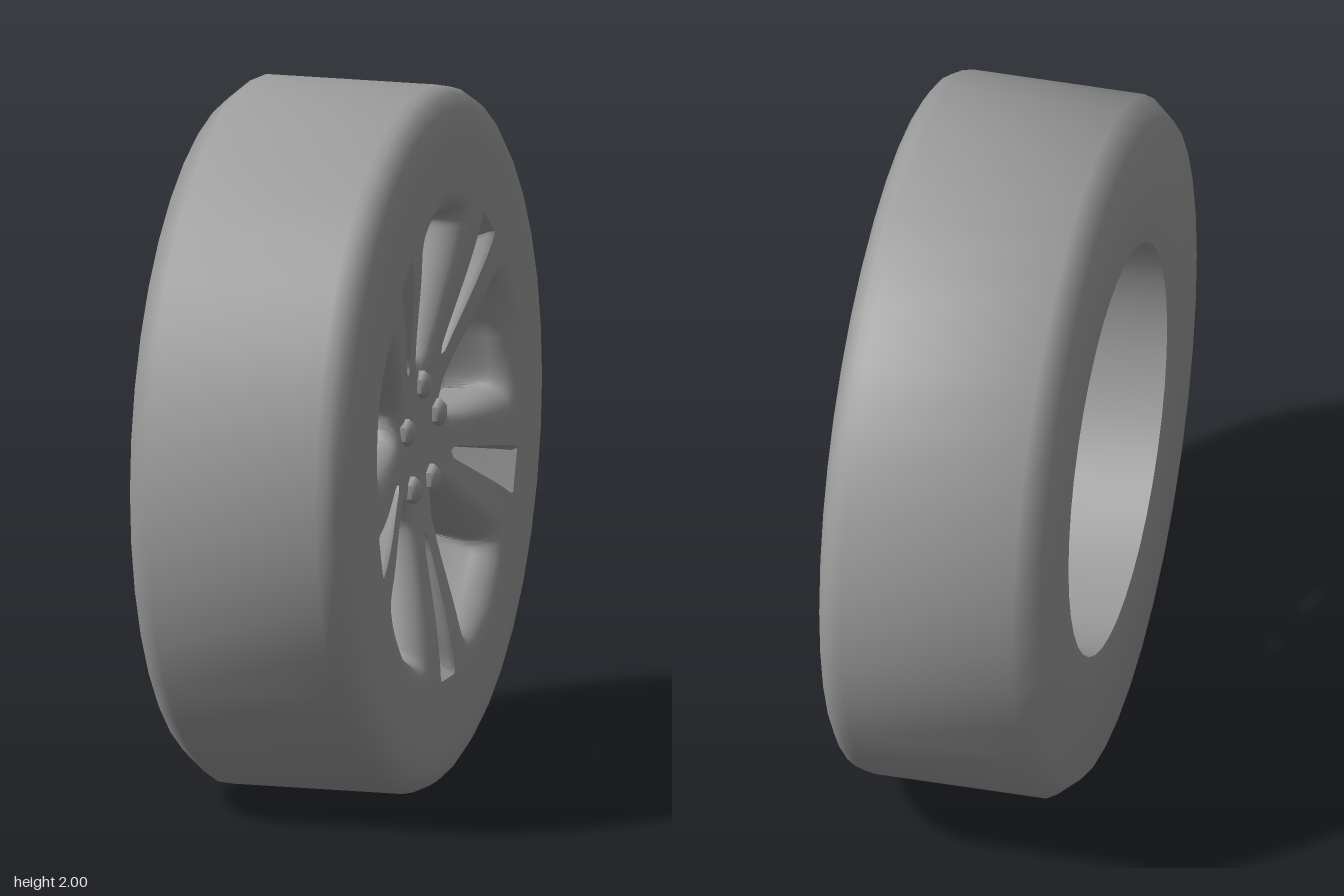
import * as THREE from 'three';
import { mergeGeometries, toCreasedNormals } from 'three/addons/utils/BufferGeometryUtils.js';

const BACK = 0.13;    // rear plane of the spokes
const BARREL = 0.59;  // inner radius of the rim barrel
const EDGE = 0.85;    // radius where the spoke face meets the sidewall
const A = Math.PI / 5;
const V = (x, y, z = 0) => new THREE.Vector3(x, y, z);

// Dished height of the outer face
const dish = (p) => 0.238 + 0.086 * THREE.MathUtils.smoothstep(Math.hypot(p.x, p.y), 0.08, 0.74);
const onFace = (p, drop = 0) => V(p.x, p.y, dish(p) - drop);
// Rear counterpart of a point, kept inside the barrel
const onBack = (p) => {
  const k = Math.min(1, BARREL / Math.max(Math.hypot(p.x, p.y), 1e-6));
  return V(p.x * k, p.y * k, BACK);
};
// Point given by its distance along a slot and its offset towards the window
const slot = (r, w) => V(
  Math.sin(A) * r - Math.cos(A) * w, Math.cos(A) * r + Math.sin(A) * w);
// Moves a border point slightly towards the middle of its slot
const inset = (p) => {
  const n = V(-Math.cos(A) * Math.sign(p.x), Math.sin(A));
  return p.clone().addScaledVector(n, -Math.min(0.011, 0.2 * p.dot(n)));
};

// Surface through rows of matching points
function skin(rows) {
  const n = rows[0].length, index = [];
  for (let i = 0; i < rows.length - 1; i++) {
    for (let j = 0; j < n - 1; j++) {
      const a = i * n + j, b = a + n;
      index.push(a, b, a + 1, b, b + 1, a + 1);
    }
  }
  const g = new THREE.BufferGeometry().setFromPoints(rows.flat());
  g.setIndex(index);
  return g;
}

// One fifth of the spoke face: a window surrounded by two half spokes
function spokeCell() {
  const endR = 0.68, endW = 0.062;
  const edgeAngle = A - Math.asin(endW / EDGE);
  const edgePoint = (w) => slot(Math.sqrt(EDGE * EDGE - w * w), w);

  // Matching anchors on the window outline and on the cell border
  const win = [[0, 0.232], [0.035, 0.243], [0.06, 0.28], [0.16, 0.575],
    [0.162, 0.595], [0.145, 0.615], [0, 0.64]].map(([x, y]) => V(x, y));
  const border = [V(0, 0), slot(0.265, 0), slot(0.285, 0.018), slot(0.665, 0.068),
    slot(endR, endW), edgePoint(endW)];
  const steps = [5, 2, 8, 2, 4, 6];
  const curve = new THREE.CatmullRomCurve3(win);

  const W = [], C = [];
  steps.forEach((count, k) => {
    for (let s = 0; s < count; s++) {
      const t = s / count, a = edgeAngle * (1 - t);
      W.push(curve.getPoint((k + t) / steps.length));
      C.push(k < 5 ? border[k].clone().lerp(border[k + 1], t)
        : V(Math.sin(a) * EDGE, Math.cos(a) * EDGE));
    }
  });
  W.push(win[6]);
  C.push(V(0, EDGE));

  // Mirror each half outline into a full loop
  const full = (half) => [...half, ...half.slice(0, -1).reverse().map((p) => V(-p.x, p.y))];
  const w = full(W), c = full(C), last = w.length - 1;

  // Rounded shoulder around the window, then the dished face
  const rows = [w.map(onBack)];
  const shoulder = w.map((p, i) => Math.min(0.45, 0.075 / p.distanceTo(c[i])));
  for (let s = 0; s <= 6; s++) {
    const a = s / 6 * Math.PI / 2;
    rows.push(w.map((p, i) => {
      const q = p.clone().lerp(c[i], shoulder[i] * (1 - Math.cos(a)));
      return onFace(q, 0.5 * (dish(q) - BACK) * (1 - Math.sin(a)));
    }));
  }
  for (let s = 1; s <= 7; s++) {
    rows.push(w.map((p, i) =>
      onFace(p.clone().lerp(c[i], THREE.MathUtils.lerp(shoulder[i], 1, s / 7)))));
  }

  // Side walls of the slots, with a narrow bevelled lip
  const slotStart = steps[0], slotEnd = steps.slice(0, 4).reduce((a, b) => a + b);
  const wall = (from, to) => {
    const part = c.slice(from, to + 1), inner = part.map(inset);
    return skin([part.map((p) => onFace(p)), inner.map((p) => onFace(p, 0.014)), inner.map(onBack)]);
  };

  // End wall of one slot and the strip from there to the sidewall
  const across = [-endW, 0, endW];
  const strip = [across.map((o) => onBack(slot(endR, o)))];
  for (let s = 0; s <= 4; s++) {
    strip.push(across.map((o) => onFace(slot(endR, o).lerp(edgePoint(o), s / 4))));
  }
  return mergeGeometries([
    skin(rows),
    skin([c.map((p) => onBack(inset(p))), w.map(onBack)]),
    wall(slotStart, slotEnd),
    wall(last - slotEnd, last - slotStart),
    skin(strip),
  ]);
}

export function createModel() {
  const model = new THREE.Group();
  model.name = 'wheel';
  const darkGrey = new THREE.MeshStandardMaterial({ color: 0x9c9c9c });
  const add = (name, geometry, parent) => {
    const mesh = new THREE.Mesh(geometry, darkGrey);
    mesh.name = name;
    parent.add(mesh);
    return mesh;
  };

  // Wheel is built around z, then turned so its outer face looks along +x
  const wheel = new THREE.Group();
  wheel.name = 'wheelAssembly';
  wheel.rotation.y = Math.PI / 2;
  wheel.position.y = 1;
  model.add(wheel);

  // Tyre and barrel in one turned profile
  const profile = [[BARREL, BACK], [BARREL, -0.325], [0.945, -0.325], [1, -0.26],
    [1, 0.235], [0.994, 0.265], [0.978, 0.29], [0.945, 0.31], [0.9, 0.32],
    [EDGE, 0.324], [EDGE - 0.01, 0.3235]]
    .map(([r, z]) => new THREE.Vector2(r, z));
  const tyre = new THREE.LatheGeometry(profile, 40).rotateX(Math.PI / 2);
  add('tyreAndBarrel', toCreasedNormals(tyre, 1), wheel);

  // Five repeated cells make the spoked face
  const cell = spokeCell();
  const cells = [0, 1, 2, 3, 4].map((i) => cell.clone().rotateZ(i * 2 * A));
  add('spokes', toCreasedNormals(mergeGeometries(cells), 0.75), wheel);

  // Domed hexagonal wheel bolts
  const boltShape = [[0.04, -0.02], [0.04, 0.012], [0.03, 0.024], [0, 0.03]]
    .map(([r, z]) => new THREE.Vector2(r, z));
  const bolt = toCreasedNormals(
    new THREE.LatheGeometry(boltShape, 6).rotateX(Math.PI / 2), 0.9);
  for (let i = 0; i < 5; i++) {
    const p = V(Math.sin(i * 2 * A) * 0.158, Math.cos(i * 2 * A) * 0.158);
    add('bolt', bolt, wheel).position.copy(onFace(p));
  }
  return model;
}
